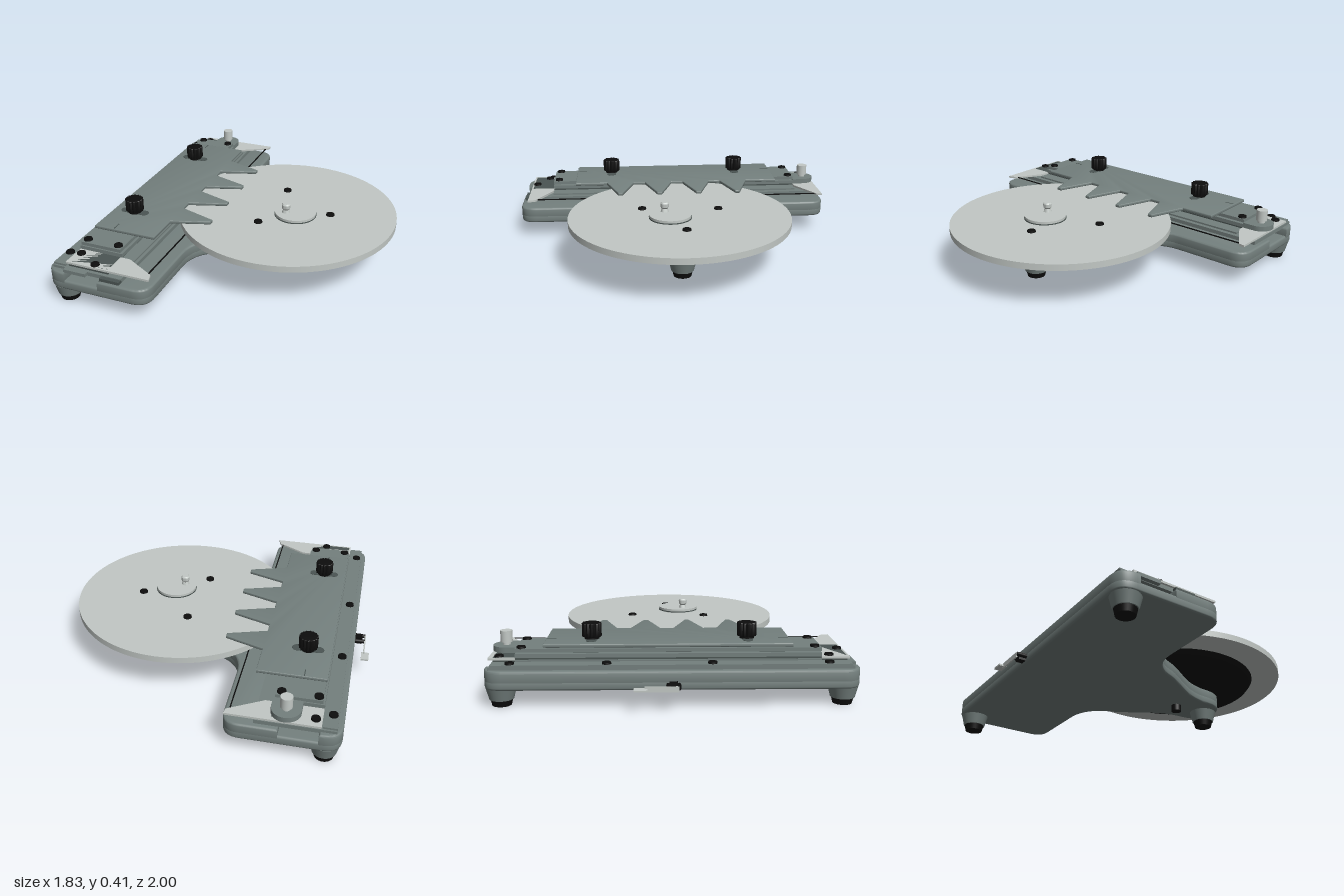
import * as THREE from 'three';
import { toCreasedNormals } from 'three/addons/utils/BufferGeometryUtils.js';

const mat = (name, color) => {
  const m = new THREE.MeshStandardMaterial({ color });
  m.name = name;
  return m;
};

export function createModel() {
  const group = new THREE.Group();
  const body = mat('grey green paint', 0x74807e);
  const dark = mat('dark grey', 0x4b5553);
  const light = mat('light metal', 0xc2c8c5);
  const black = mat('black rubber', 0x0d0d0d);

  const add = (name, geo, m, x = 0, y = 0, z = 0) => {
    const mesh = new THREE.Mesh(geo, m);
    mesh.name = name;
    mesh.position.set(x, y, z);
    group.add(mesh);
    return mesh;
  };
  // box given by its limits
  const box = (name, m, x0, x1, y0, y1, z0, z1) => add(name,
    new THREE.BoxGeometry(x1 - x0, y1 - y0, z1 - z0), m,
    (x0 + x1) / 2, (y0 + y1) / 2, (z0 + z1) / 2);
  // upright cylinder from y0 to y1
  const cyl = (name, m, x, z, y0, y1, rBottom, rTop = rBottom, n = 32) => add(name,
    new THREE.CylinderGeometry(rTop, rBottom, y1 - y0, n), m, x, (y0 + y1) / 2, z);
  // flat slab with an outline drawn in x and -z
  const slab = (name, m, shape, y0, y1, bevel = 0) => {
    let geo = new THREE.ExtrudeGeometry(shape, {
      depth: y1 - y0 - 2 * bevel, bevelEnabled: bevel > 0, bevelSize: bevel,
      bevelThickness: bevel, bevelOffset: -bevel, bevelSegments: 3, curveSegments: 14,
    });
    geo.translate(0, 0, bevel);
    geo.rotateX(-Math.PI / 2);
    geo = toCreasedNormals(geo, 0.6);
    return add(name, geo, m, 0, y0, 0);
  };
  const poly = (pts) => new THREE.Shape(pts.map(([x, z]) => new THREE.Vector2(x, -z)));

  // T-shaped base outline, starting from a chosen left edge
  const baseOutline = (left, r) => {
    const s = new THREE.Shape();
    const c = 0.1;
    s.moveTo(left + r, -1);
    s.lineTo(-0.2 - c, -1);
    s.quadraticCurveTo(-0.2, -1, -0.2, -1 + c);
    s.lineTo(-0.2, -0.56);
    s.quadraticCurveTo(-0.2, -0.4, -0.06, -0.34);
    s.bezierCurveTo(0.1, -0.28, 0.2, -0.14, 0.4, -0.14);
    s.bezierCurveTo(0.6, -0.14, 0.6, 0.14, 0.4, 0.14);
    s.bezierCurveTo(0.2, 0.14, 0.1, 0.28, -0.06, 0.34);
    s.quadraticCurveTo(-0.2, 0.4, -0.2, 0.56);
    s.lineTo(-0.2, 1 - c);
    s.quadraticCurveTo(-0.2, 1, -0.2 - c, 1);
    s.lineTo(left + r, 1);
    if (r > 0) s.quadraticCurveTo(left, 1, left, 1 - r);
    s.lineTo(left, -1 + r);
    if (r > 0) s.quadraticCurveTo(left, -1, left + r, -1);
    return s;
  };
  // base with a channel running along its length
  slab('baseFloor', body, baseOutline(-0.83, 0.1), 0.1, 0.155, 0.012);
  slab('baseRightWall', body, baseOutline(-0.5, 0), 0.13, 0.197, 0.012);
  const wall = new THREE.Shape();
  wall.moveTo(-0.71, -1);
  wall.lineTo(-0.71, 1);
  wall.lineTo(-0.73, 1);
  wall.quadraticCurveTo(-0.83, 1, -0.83, 0.9);
  wall.lineTo(-0.83, -0.9);
  wall.quadraticCurveTo(-0.83, -1, -0.73, -1);
  slab('baseLeftWall', body, wall, 0.13, 0.205, 0.012);

  // feet
  for (const [x, z] of [[-0.74, 0.915], [-0.74, -0.915], [0.465, 0]]) {
    cyl('foot', body, x, z, 0.035, 0.102, 0.066, 0.083);
    cyl('footPad', black, x, z, 0, 0.036, 0.052, 0.06);
  }

  // stacked rails of the bed
  box('bed', body, -0.8, -0.37, 0.197, 0.22, -0.97, 0.96);
  box('sideRail', body, -0.8, -0.725, 0.22, 0.231, -0.96, 0.95);
  box('bedStep', dark, -0.71, -0.46, 0.22, 0.25, -0.96, 0.94);
  box('lowerSlide', body, -0.72, -0.38, 0.228, 0.238, -0.84, 0.8);
  box('carriage', body, -0.72, -0.45, 0.25, 0.272, -0.84, 0.8);
  box('carriageTop', body, -0.71, -0.46, 0.278, 0.298, -0.84, 0.8);
  box('carriageCore', dark, -0.69, -0.48, 0.27, 0.306, -0.68, 0.63);

  // end brackets with the cutting wire between their tips
  slab('backBracket', light, poly([[-0.72, -0.84], [-0.41, -0.84], [-0.22, -0.95],
    [-0.215, -0.985], [-0.72, -0.985]]), 0.238, 0.25);
  slab('frontBracket', light, poly([[-0.72, 0.95], [-0.205, 0.95], [-0.22, 0.9],
    [-0.4, 0.8], [-0.72, 0.8]]), 0.238, 0.25);
  box('wire', black, -0.243, -0.237, 0.241, 0.247, -0.95, 0.91);
  box('frontClip', dark, -0.49, -0.37, 0.197, 0.215, 0.955, 0.985);
  box('frontStop', body, -0.72, -0.58, 0.2, 0.22, 0.955, 0.985);

  // rounded tab and its light knob
  const tab = new THREE.Shape();
  tab.moveTo(-0.61, 0.84);
  tab.lineTo(-0.45, 0.84);
  tab.lineTo(-0.45, 0.91);
  tab.absarc(-0.53, 0.91, 0.08, 0, Math.PI, false);
  slab('tab', body, tab, 0.25, 0.28);
  cyl('tabPin', light, -0.53, -0.917, 0.28, 0.3, 0.022);
  cyl('tabKnob', light, -0.53, -0.917, 0.295, 0.36, 0.033);

  // toothed plate
  const outline = [[-0.715, -0.69], [-0.33, -0.69]];
  for (const z of [-0.4, -0.15, 0.1, 0.35]) {
    outline.push([-0.33, z - 0.088], [-0.105, z - 0.014], [-0.105, z + 0.014], [-0.33, z + 0.088]);
  }
  outline.push([-0.33, 0.645], [-0.715, 0.645]);
  slab('toothedPlate', body, poly(outline.reverse()), 0.304, 0.323, 0.004);

  // clamping knobs in slots, with index marks
  for (const [z, mark] of [[-0.44, -0.66], [0.41, 0.61]]) {
    const slot = new THREE.Shape();
    slot.absarc(-0.518, -z, 0.028, -Math.PI / 2, Math.PI / 2, false);
    slot.absarc(-0.642, -z, 0.028, Math.PI / 2, Math.PI * 1.5, false);
    slab('slot', dark, slot, 0.321, 0.325);
    const star = new THREE.Shape();
    for (let i = 0; i < 32; i++) {
      const a = i * Math.PI / 16, r = i % 2 ? 0.048 : 0.054;
      const x = -0.58 + r * Math.cos(a), y = -z + r * Math.sin(a);
      if (i) star.lineTo(x, y); else star.moveTo(x, y);
    }
    slab('clampKnob', black, star, 0.335, 0.412, 0.004);
    cyl('clampCollar', black, -0.58, z, 0.323, 0.337, 0.04);
    box('indexMark', dark, -0.593, -0.588, 0.32, 0.3245, mark - 0.028, mark + 0.028);
  }

  // screws: x, z, seat height
  const screws = [
    [-0.77, -0.86, 0.231], [-0.77, -0.35, 0.231], [-0.77, 0.21, 0.231], [-0.77, 0.83, 0.231],
    [-0.685, -0.81, 0.298], [-0.49, -0.81, 0.298], [-0.685, 0.765, 0.298], [-0.49, 0.765, 0.298],
    [-0.685, -0.93, 0.25], [-0.685, 0.845, 0.25], [-0.55, 0.92, 0.25],
    [0.17, -0.24, 0.297], [0.515, -0.02, 0.297], [0.14, 0.22, 0.297],
  ];
  for (const [x, z, y] of screws) cyl('screw', black, x, z, y - 0.004, y + 0.01, 0.026, 0.024, 20);

  // platter, rubber underside and axle
  cyl('platter', light, 0.25, 0, 0.26, 0.297, 0.66, 0.66, 96);
  cyl('platterUnderside', black, 0.25, 0, 0.233, 0.2605, 0.47, 0.49, 72);
  cyl('axle', black, 0.25, 0, 0.06, 0.235, 0.031);

  // offset hub with its post
  cyl('hubBase', light, 0.32, 0.06, 0.296, 0.308, 0.1, 0.1, 40);
  cyl('hub', light, 0.32, 0.06, 0.306, 0.326, 0.124, 0.124, 48);
  cyl('hubRing', dark, 0.32, 0.06, 0.306, 0.312, 0.1265, 0.1265, 48);
  const post = [[0, 0.326], [0.024, 0.326], [0.018, 0.345], [0.025, 0.354], [0.026, 0.376],
    [0.02, 0.384], [0, 0.384]].map(([r, y]) => new THREE.Vector2(r, y));
  add('hubPost', toCreasedNormals(new THREE.LatheGeometry(post, 24), 0.6), light, 0.27, 0, 0.09);

  // side lever on its pivot
  for (const z of [-0.025, 0.03]) {
    const pin = add('leverPivot', new THREE.CylinderGeometry(0.012, 0.012, 0.07, 16), black, -0.855, 0.13, z);
    pin.rotation.z = Math.PI / 2;
  }
  box('leverMount', black, -0.872, -0.83, 0.106, 0.15, -0.02, 0.025);
  box('leverArm', light, -0.893, -0.885, 0.11, 0.14, -0.15, 0.03);
  box('leverPad', light, -0.92, -0.875, 0.118, 0.128, -0.205, -0.135);
  return group;
}
